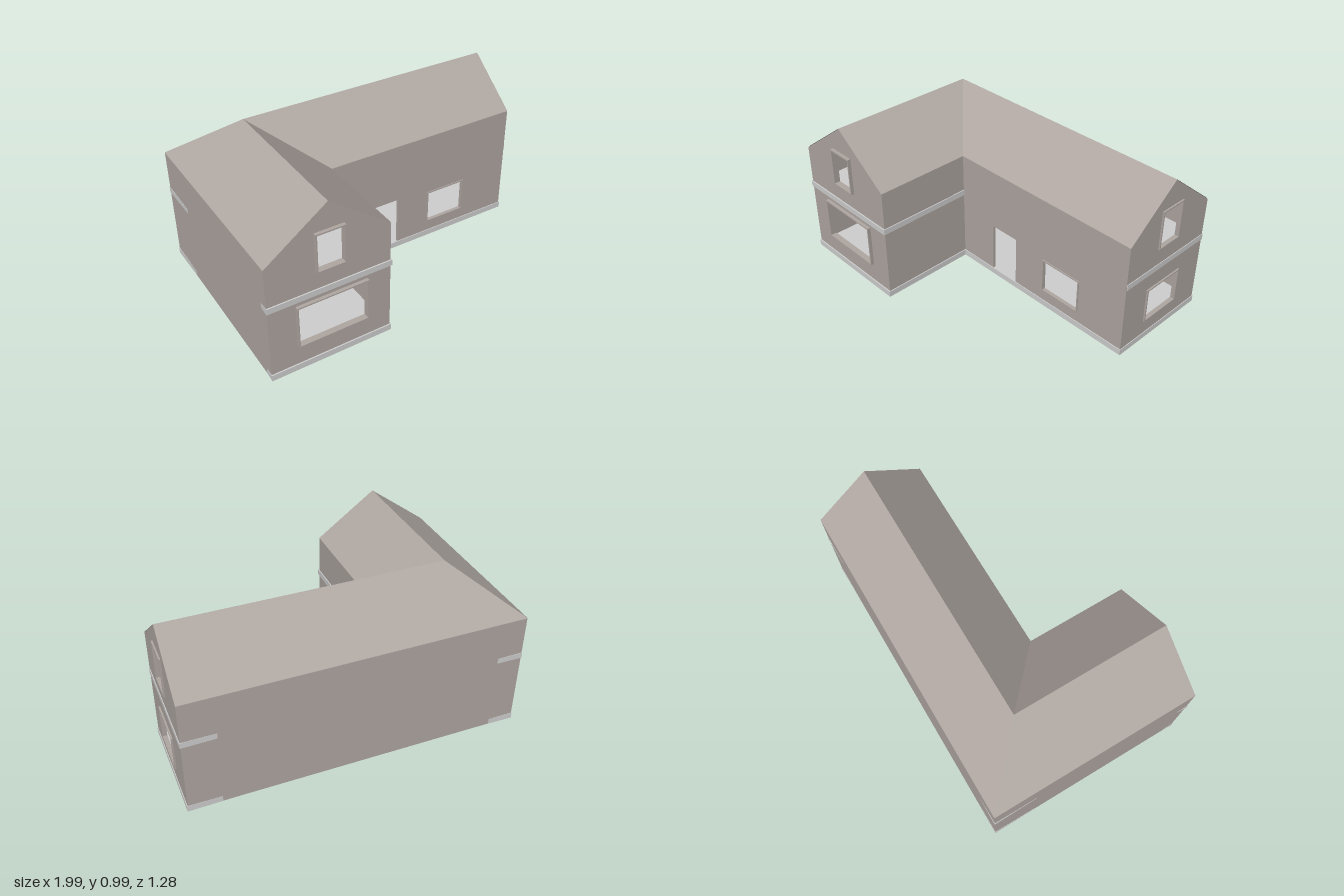
import * as THREE from 'three';

const T = 0.015;                 // wall thickness
const EAVE = 0.72, RIDGE = 0.985, BASE = 0.002;

const wallMat = new THREE.MeshStandardMaterial({ color: 0xb0a7a2, side: THREE.DoubleSide });
wallMat.name = 'warm grey plaster';
const slabMat = new THREE.MeshStandardMaterial({ color: 0xcfcfcf });
slabMat.name = 'light concrete';

const poly = (pts) => new THREE.Shape(pts.map(([x, y]) => new THREE.Vector2(x, y)));
const rect = (x0, x1, y0, y1) => [[x0, y0], [x1, y0], [x1, y1], [x0, y1]];

function extrude(shape, depth, mat, name) {
  const geo = new THREE.ExtrudeGeometry(shape, { depth, bevelEnabled: false });
  const mesh = new THREE.Mesh(geo, mat);
  mesh.name = name;
  return mesh;
}

// Wall facing the given angle, with its outer face at a distance from the centre.
// Openings are [x0, x1, y0, y1, frameProjection]; no projection means no frame.
function wall(name, angle, dist, outline, openings = []) {
  const group = new THREE.Group();
  group.name = name;
  const shape = poly(outline);
  for (const [x0, x1, y0, y1, out] of openings) {
    shape.holes.push(poly(rect(x0, x1, y0, y1)));
    if (!out) continue;
    const e = 0.003, i = 0.005;
    const ring = poly(rect(x0 - e, x1 + e, y0 - e, y1 + e));
    ring.holes.push(poly(rect(x0 + i, x1 - i, y0 + i, y1 - i)));
    const frame = extrude(ring, T + out + 0.002, wallMat, 'windowFrame');
    frame.position.z = -T - 0.002;
    group.add(frame);
  }
  const panel = extrude(shape, T, wallMat, 'wallPanel');
  panel.position.z = -T;
  group.add(panel);
  group.rotation.y = angle;
  group.position.set(Math.sin(angle) * dist, 0, Math.cos(angle) * dist);
  return group;
}

const gable = (x0, x1) =>
  [[x0, BASE], [x1, BASE], [x1, EAVE], [(x0 + x1) / 2, RIDGE], [x0, EAVE]];

// L-shaped floor slab from [x, z] corners
function slab(name, y, thickness, corners) {
  const mesh = extrude(poly(corners.map(([x, z]) => [x, -z])), thickness, slabMat, name);
  mesh.rotation.x = -Math.PI / 2;
  mesh.position.y = y;
  return mesh;
}

// Roof with one hip and one valley where the wings meet
function roof() {
  const A = [-0.99, EAVE, -0.635], B = [0.99, EAVE, -0.635], C = [0.99, EAVE, 0.025];
  const D = [-0.27, EAVE, 0.025], E = [-0.27, EAVE, 0.625], F = [-0.99, EAVE, 0.625];
  const P = [-0.63, RIDGE, -0.305], Q = [0.99, RIDGE, -0.305], R = [-0.63, RIDGE, 0.625];
  const slopes = [[A, P, Q, B], [P, D, C, Q], [F, R, P, A], [R, E, D, P]];
  const pos = slopes.flatMap(([a, b, c, d]) => [a, b, c, a, c, d].flat());
  const geo = new THREE.BufferGeometry();
  geo.setAttribute('position', new THREE.Float32BufferAttribute(pos, 3));
  geo.computeVertexNormals();
  const mesh = new THREE.Mesh(geo, wallMat);
  mesh.name = 'roof';
  mesh.position.y = 0.003;
  return mesh;
}

export function createModel() {
  const model = new THREE.Group();
  model.name = 'house';
  const H = Math.PI / 2;

  // Gable ends
  model.add(
    wall('frontGable', 0, 0.625, gable(-0.99, -0.27),
      [[-0.83, -0.415, 0.162, 0.42, 0.02], [-0.71, -0.545, 0.597, 0.826, 0.02]]),
    wall('sideGable', H, 0.99, gable(-0.025, 0.635),
      [[0.163, 0.435, 0.13, 0.345, 0.01], [0.22, 0.387, 0.592, 0.828, 0.01]]),
  );

  // Long walls
  model.add(
    wall('entranceWall', 0, 0.025, rect(-0.27 - T, 0.99, BASE, EAVE),
      [[-0.01, 0.182, 0.033, 0.347, 0], [0.4, 0.67, 0.107, 0.322, 0.006]]),
    wall('courtWall', H, -0.27, rect(-0.625, -0.025, BASE, EAVE)),
    wall('backWall', Math.PI, 0.635, rect(-0.99, 0.99, BASE, EAVE)),
    wall('leftWall', -H, 0.99, rect(-0.635, 0.625, BASE, EAVE)),
  );

  // Ground-floor partitions, with a doorway
  model.add(
    wall('partition', 0, -0.37,
      [[-0.98, 0.03], [-0.92, 0.03], [-0.92, 0.36], [-0.71, 0.36], [-0.71, 0.03],
        [-0.07, 0.03], [-0.07, 0.455], [-0.98, 0.455]]),
    wall('crossPartition', H, -0.68, rect(0.37, 0.625, 0.03, 0.455)),
  );

  // Floors, whose edges show as pale bands
  const outline = (courtZ) => [
    [-0.993, 0.633], [-0.264, 0.633], [-0.264, courtZ], [0.994, courtZ], [0.994, -0.638],
    [0.6, -0.632], [-0.68, -0.632], [-0.993, -0.638], [-0.987, -0.1], [-0.987, 0.5],
  ];
  model.add(
    slab('groundFloor', 0, 0.037, outline(0.03)),
    slab('upperFloor', 0.45, 0.035, outline(0.023)),
  );

  model.add(roof());
  return model;
}
